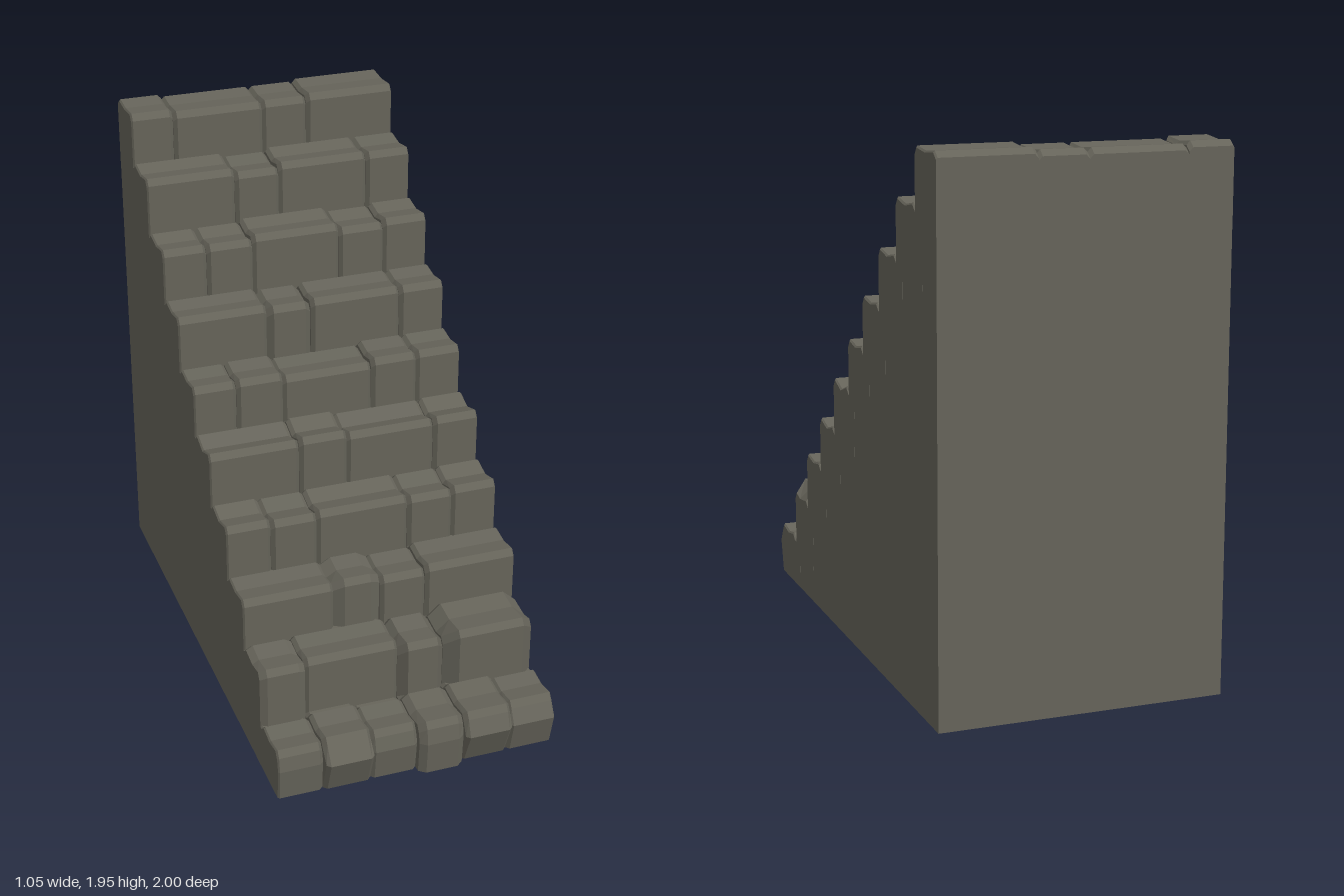
import * as THREE from 'three';

const HALF = 0.525;
const stone = new THREE.MeshStandardMaterial({ color: 0x66645a, flatShading: true });

// One row per step, bottom to top: riser z, dip of the worn tread,
// inner joints in x, top height of each stone, optional per-stone shape.
const steps = [
  { z: 0.94, dip: 0.012, joints: [-0.355, -0.175, 0, 0.17, 0.35], tops: [0.2, 0.215, 0.2, 0.215, 0.22, 0.205],
    shape: { 0: { bulge: 0.01 }, 1: { bulge: 0.045 }, 2: { bulge: 0.015 },
      3: { z: 0.975, bulge: 0.01, w: 0.025, d: 0.02 }, 4: { z: 0.975, bulge: 0.025, undercut: 0.03 }, 5: { bulge: 0.03 } } },
  { z: 0.755, dip: 0.012, joints: [-0.355, 0, 0.175], tops: [0.415, 0.42, 0.415, 0.435],
    shape: { 0: { w: 0.025, d: 0.015 }, 1: { z: 0.74 }, 2: { z: 0.765, w: 0.03, d: 0.035 }, 3: { z: 0.778, w: 0.05, d: 0.045 } } },
  { z: 0.555, dip: 0.012, joints: [-0.18, 0, 0.175], tops: [0.59, 0.6, 0.58, 0.595], shape: { 1: { w: 0.04, d: 0.025 } } },
  { z: 0.365, dip: 0.02, joints: [-0.355, -0.18, 0.175, 0.35], tops: [0.785, 0.78, 0.785, 0.78, 0.785] },
  { z: 0.17, dip: 0.025, joints: [-0.18, 0.005, 0.35], tops: [0.98, 0.988, 0.975, 0.98] },
  { z: -0.02, dip: 0.012, joints: [-0.36, -0.18, 0.17, 0.35], tops: [1.16, 1.165, 1.15, 1.165, 1.165] },
  { z: -0.205, dip: 0.012, joints: [-0.18, -0.005, 0.35], tops: [1.358, 1.35, 1.355, 1.355], shape: { 1: { w: 0.025, d: 0.025 } } },
  { z: -0.392, dip: 0.014, joints: [-0.355, -0.175, 0.17, 0.35], tops: [1.55, 1.55, 1.563, 1.545, 1.555] },
  { z: -0.59, dip: 0.014, joints: [-0.18, -0.005, 0.35], tops: [1.757, 1.742, 1.757, 1.755] },
  { z: -0.79, dip: 0.008, joints: [-0.36, -0.005, 0.175], tops: [1.945, 1.936, 1.936, 1.945] },
];

// Side profile [z, y] of a stone, from front foot over the tread to the back foot
function profile(s, inset) {
  const z = s.z - inset, y = s.top - inset;
  return [
    [z - s.undercut, s.foot],
    [z + s.bulge, s.foot + (s.top - s.foot) * 0.6],
    [z, y - 0.025],
    [z - 0.018, y],
    [(s.z + s.back) / 2, y - s.dip],
    [s.back + 0.025, y],
    [s.back, y - 0.02],
    [s.back - s.tail, y - 0.02],
    [s.back - s.tail, s.foot],
  ];
}

// Chamfered stone: profiles swept along x, shrunk at both ends
function stoneGeometry(s) {
  const loops = [[s.x0, s.d0], [s.x0 + s.w0, 0], [s.x1 - s.w1, 0], [s.x1, s.d1]]
    .map(([x, inset]) => profile(s, inset).map(([z, y]) => [x, y, z]));
  const pos = [];
  const tri = (a, b, c) => pos.push(...a, ...b, ...c);
  const n = loops[0].length, first = loops[0], last = loops[3];
  for (let i = 0; i < 3; i++) {
    const p = loops[i], q = loops[i + 1];
    for (let j = 0; j < n; j++) {
      const k = (j + 1) % n;
      tri(p[j], q[j], q[k]);
      tri(p[j], q[k], p[k]);
    }
  }
  for (let j = 0; j < n - 2; j++) {
    tri(first[n - 1], first[j], first[j + 1]);
    tri(last[n - 1], last[j + 1], last[j]);
  }
  const g = new THREE.BufferGeometry();
  g.setAttribute('position', new THREE.Float32BufferAttribute(pos, 3));
  g.computeVertexNormals();
  return g;
}

// Solid stepped body behind the facing stones
function createCore() {
  const shape = new THREE.Shape();
  shape.moveTo(1, 0);
  for (const [i, { z, tops }] of steps.entries()) {
    const y = Math.min(...tops) - 0.06;
    const prev = i ? Math.min(...steps[i - 1].tops) - 0.06 : 0;
    shape.lineTo(-(z - 0.06), prev);
    shape.lineTo(-(z - 0.06), y);
  }
  shape.lineTo(1, Math.min(...steps[9].tops) - 0.06);
  const width = 2 * HALF - 0.001;
  const g = new THREE.ExtrudeGeometry(shape, { depth: width, bevelEnabled: false });
  g.translate(0, 0, -width / 2);
  g.rotateY(Math.PI / 2);
  const mesh = new THREE.Mesh(g, stone);
  mesh.name = 'stairCore';
  return mesh;
}

export function createModel() {
  const model = new THREE.Group();
  model.name = 'stoneStaircase';
  model.add(createCore());

  steps.forEach((step, i) => {
    const row = new THREE.Group();
    row.name = `step${i + 1}`;
    const xs = [-HALF, ...step.joints, HALF];
    const isTop = i === steps.length - 1;
    step.tops.forEach((top, j) => {
      const o = step.shape?.[j] ?? {};
      const outerL = j === 0, outerR = j === step.tops.length - 1;
      const bevel = (outer) => (outer ? 0.006 : 0.014);
      const s = {
        x0: xs[j], x1: xs[j + 1], top, dip: step.dip,
        z: o.z ?? step.z + (j % 2 ? 0.004 : 0),
        bulge: o.bulge ?? 0, undercut: o.undercut ?? 0,
        foot: i ? Math.min(...steps[i - 1].tops) - 0.07 : 0,
        back: isTop ? -1 : steps[i + 1].z,
        tail: isTop ? 0 : 0.07,
        w0: o.w ?? bevel(outerL), d0: o.d ?? bevel(outerL),
        w1: o.w ?? bevel(outerR), d1: o.d ?? bevel(outerR),
      };
      const mesh = new THREE.Mesh(stoneGeometry(s), stone);
      mesh.name = `stone${j + 1}`;
      row.add(mesh);
    });
    model.add(row);
  });
  return model;
}
